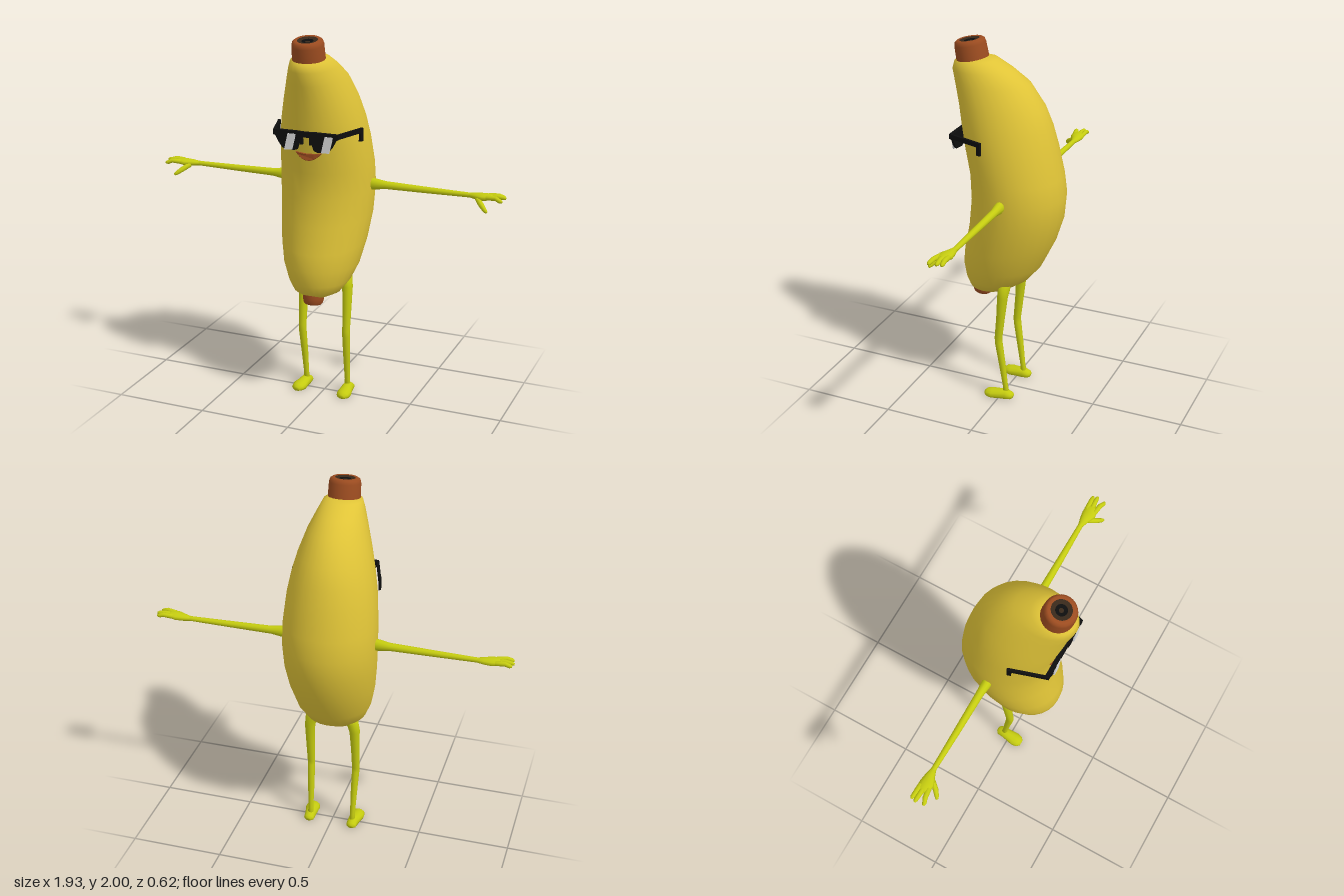
import * as THREE from 'three';

const mat = (name, color, side = THREE.FrontSide) => {
  const m = new THREE.MeshStandardMaterial({ color, side });
  m.name = name;
  return m;
};
const V = (x, y, z) => new THREE.Vector3(x, y, z);

// Skin a row of elliptical rings { c: centre, u, v: half axes } with u x v along the row.
function loft(rings, sides) {
  const pos = [], idx = [];
  for (const { c, u, v } of rings)
    for (let j = 0; j < sides; j++) {
      const a = (j / sides) * Math.PI * 2;
      const p = c.clone().addScaledVector(u, Math.cos(a)).addScaledVector(v, Math.sin(a));
      pos.push(p.x, p.y, p.z);
    }
  for (let i = 0; i < rings.length - 1; i++)
    for (let j = 0; j < sides; j++) {
      const k = (j + 1) % sides;
      const a = i * sides + j, b = i * sides + k, c = a + sides, d = b + sides;
      idx.push(a, b, c, b, d, c);
    }
  const g = new THREE.BufferGeometry();
  g.setAttribute('position', new THREE.Float32BufferAttribute(pos, 3));
  g.setIndex(idx);
  g.computeVertexNormals();
  return g;
}

// Tapered limb through stations [x, y, z, half width, half height], closed at both ends.
function limb(stations, sides = 12) {
  const pts = stations.map(([x, y, z]) => V(x, y, z));
  const rings = stations.map(([, , , w, h = w], i) => {
    const t = pts[Math.min(i + 1, pts.length - 1)].clone().sub(pts[Math.max(i - 1, 0)]).normalize();
    const ref = Math.abs(t.y) > 0.8 ? V(0, 0, 1) : V(0, 1, 0);
    const side = ref.cross(t).normalize();
    return { c: pts[i], u: side.clone().multiplyScalar(w), v: t.clone().cross(side).multiplyScalar(h) };
  });
  const cap = (r) => ({ c: r.c, u: V(0, 0, 0), v: V(0, 0, 0) });
  return loft([cap(rings[0]), ...rings, cap(rings[rings.length - 1])], sides);
}

const lathe = (pts) => new THREE.LatheGeometry(pts.map(([x, y]) => new THREE.Vector2(x, y)), 24);

function polygon(pts) {
  return new THREE.Shape(pts.map(([x, y]) => new THREE.Vector2(x, y)));
}

export function createModel() {
  const model = new THREE.Group();
  const peel = mat('peel yellow', 0xe0c437);
  const skin = mat('limb yellow green', 0xc5cc10);
  const brown = mat('stem brown', 0x9c4c20);
  const dark = mat('dark brown', 0x38281a);
  const black = mat('black', 0x0e0e0e);
  const white = mat('glint white', 0xdedede);
  const add = (name, geometry, material, parent = model) => {
    const m = new THREE.Mesh(geometry, material);
    m.name = name;
    parent.add(m);
    return m;
  };
  const group = (name) => {
    const g = new THREE.Group();
    g.name = name;
    model.add(g);
    return g;
  };

  // Curved body, bottom to top: front z, front y, back z, back y, half width
  const body = [
    [0.15, 0.6, 0.15, 0.6, 0], [0.185, 0.608, 0.1, 0.595, 0.05], [0.217, 0.635, -0.02, 0.63, 0.125],
    [0.236, 0.685, -0.11, 0.69, 0.165], [0.247, 0.77, -0.18, 0.775, 0.2], [0.237, 0.86, -0.255, 0.93, 0.226],
    [0.207, 1.0, -0.298, 1.07, 0.243], [0.191, 1.15, -0.308, 1.19, 0.25], [0.197, 1.29, -0.293, 1.3, 0.247],
    [0.23, 1.45, -0.26, 1.45, 0.233], [0.25, 1.56, -0.23, 1.56, 0.213], [0.267, 1.66, -0.19, 1.66, 0.187],
    [0.291, 1.76, -0.11, 1.78, 0.15], [0.308, 1.83, -0.02, 1.845, 0.12], [0.298, 1.868, 0.07, 1.893, 0.1],
    [0.27, 1.885, 0.12, 1.902, 0.07], [0.2, 1.89, 0.2, 1.89, 0],
  ].map(([zf, yf, zb, yb, w]) => ({
    c: V(0, (yf + yb) / 2, (zf + zb) / 2),
    u: V(w, 0, 0),
    v: V(0, (yb - yf) / 2, (zb - zf) / 2),
  }));
  add('body', loft(body, 28), peel);

  // Stem with a dark cut end
  const stem = group('stem');
  stem.position.set(0, 1.875, 0.2);
  stem.rotation.x = 0.18;
  add('stemBark', lathe([[0.086, -0.02], [0.084, 0.02], [0.082, 0.085], [0.077, 0.103], [0.066, 0.111], [0.052, 0.109]]), brown, stem);
  add('stemCut', lathe([[0.053, 0.109], [0.03, 0.104]]), dark, stem);
  add('stemCore', lathe([[0.03, 0.104], [0.012, 0.1]]), black, stem);
  add('stemPith', lathe([[0.012, 0.1], [0, 0.101]]), dark, stem);

  // Small bottom tip
  const tip = group('bottomTip');
  tip.position.set(0, 0.585, 0.155);
  tip.rotation.x = -0.14;
  add('tipBark', lathe([[0.025, -0.021], [0.042, -0.02], [0.05, -0.012], [0.056, 0.012], [0.057, 0.035]]), brown, tip);
  add('tipCut', lathe([[0, -0.02], [0.025, -0.021]]), dark, tip);

  for (const s of [1, -1]) {
    const side = s > 0 ? 'left' : 'right';
    const mirrored = (list) => limb(list.map(([x, ...rest]) => [x * s, ...rest]));

    // Arm, palm and fingers
    const arm = group(side + 'Arm');
    add('arm', mirrored([[0.2, 1.198, -0.055, 0.027, 0.034], [0.26, 1.198, -0.055, 0.026, 0.031],
      [0.32, 1.198, -0.057, 0.021], [0.54, 1.197, -0.058, 0.018, 0.017], [0.76, 1.197, -0.06, 0.014, 0.013], [0.8, 1.197, -0.06, 0.014]]), skin, arm);
    add('palm', mirrored([[0.77, 1.197, -0.06, 0.014, 0.012], [0.81, 1.197, -0.058, 0.026, 0.017],
      [0.85, 1.198, -0.052, 0.038, 0.019], [0.885, 1.202, -0.053, 0.034, 0.015], [0.9, 1.203, -0.055, 0.026, 0.01]]), skin, arm);
    for (const [z, tipZ, tipX, tipY] of [[-0.074, -0.08, 0.955, 1.198], [-0.053, -0.057, 0.963, 1.201], [-0.03, -0.012, 0.956, 1.194]])
      add('finger', mirrored([[0.87, 1.202, z, 0.015, 0.013], [0.92, 1.206, (z + tipZ) / 2, 0.013, 0.012],
        [tipX - 0.012, tipY + 0.002, tipZ, 0.011, 0.011], [tipX, tipY, tipZ, 0.006]]), skin, arm);
    add('thumb', mirrored([[0.82, 1.19, -0.04, 0.014], [0.85, 1.168, -0.005, 0.014],
      [0.875, 1.149, 0.016, 0.011], [0.886, 1.141, 0.022, 0.006]]), skin, arm);

    // Leg and foot
    const leg = group(side + 'Leg');
    add('leg', mirrored([[0.095, 0.7, -0.03, 0.025], [0.116, 0.675, -0.023, 0.033], [0.126, 0.62, -0.016, 0.029],
      [0.128, 0.5, -0.006, 0.024], [0.128, 0.37, 0.007, 0.021], [0.128, 0.34, 0.006, 0.021],
      [0.124, 0.2, -0.014, 0.018], [0.122, 0.07, -0.031, 0.014], [0.122, 0.02, -0.036, 0.018]]), skin, leg);
    const foot = mirrored([[0.124, 0.012, -0.076, 0.016, 0.012], [0.124, 0.015, -0.066, 0.028, 0.02],
      [0.125, 0.018, -0.035, 0.031, 0.032], [0.128, 0.016, 0, 0.034, 0.028], [0.132, 0.014, 0.04, 0.04, 0.027],
      [0.133, 0.013, 0.068, 0.034, 0.023], [0.133, 0.011, 0.084, 0.018, 0.013]]);
    const p = foot.attributes.position;
    for (let i = 0; i < p.count; i++) p.setY(i, Math.max(0, p.getY(i)));
    foot.computeVertexNormals();
    add('foot', foot, skin, leg);
  }

  // Sunglasses: brow bar, lenses, slanted glints, temples with ear hooks
  const glasses = group('sunglasses');
  const plate = (name, pts, depth, z, material) => {
    const g = new THREE.ExtrudeGeometry(polygon(pts), { depth, bevelEnabled: false });
    add(name, g.translate(0, 0, z), material, glasses);
  };
  add('browBar', new THREE.BoxGeometry(0.35, 0.028, 0.022).translate(0, 1.51, 0.247), black, glasses);
  for (const s of [1, -1]) {
    const lens = [[0.02, 1.5], [0.045, 1.43], [0.065, 1.422], [0.125, 1.43], [0.145, 1.455], [0.17, 1.5]];
    plate('lens', lens.map(([x, y]) => [x * s, y]), 0.012, 0.24, black);
    const x = s > 0 ? 0.108 : -0.094;
    plate('glint', [[x - 0.02, 1.424], [x + 0.022, 1.426], [x + 0.044, 1.51], [x, 1.51]], 0.008, 0.252, white);

    const a = V(s * 0.17, 1.511, 0.25), b = V(s * 0.23, 1.511, 0.06);
    const temple = new THREE.BoxGeometry(0.014, 0.024, a.distanceTo(b));
    temple.rotateY(Math.atan2(a.x - b.x, a.z - b.z));
    temple.translate((a.x + b.x) / 2, 1.511, (a.z + b.z) / 2);
    add('temple', temple, black, glasses);
    const hook = new THREE.BoxGeometry(0.014, 0.068, 0.022).rotateY(-s * 0.3);
    add('earHook', hook.translate(s * 0.229, 1.489, 0.067), black, glasses);
    add('nosePad', new THREE.BoxGeometry(0.012, 0.04, 0.04).translate(s * 0.025, 1.475, 0.228), black, glasses);
  }

  // Smiling mouth, bent around the body
  const smile = new THREE.Shape();
  smile.moveTo(-0.068, 1.406);
  smile.quadraticCurveTo(0, 1.333, 0.068, 1.406);
  smile.quadraticCurveTo(0, 1.396, -0.068, 1.406);
  const mouth = new THREE.ExtrudeGeometry(smile, {
    depth: 0.02, bevelEnabled: true, bevelThickness: 0.004, bevelSize: 0.003, bevelSegments: 2,
  });
  const mp = mouth.attributes.position;
  for (let i = 0; i < mp.count; i++) mp.setZ(i, mp.getZ(i) + 0.203 - 2.2 * mp.getX(i) ** 2);
  mouth.computeVertexNormals();
  add('mouth', mouth, brown);

  return model;
}
